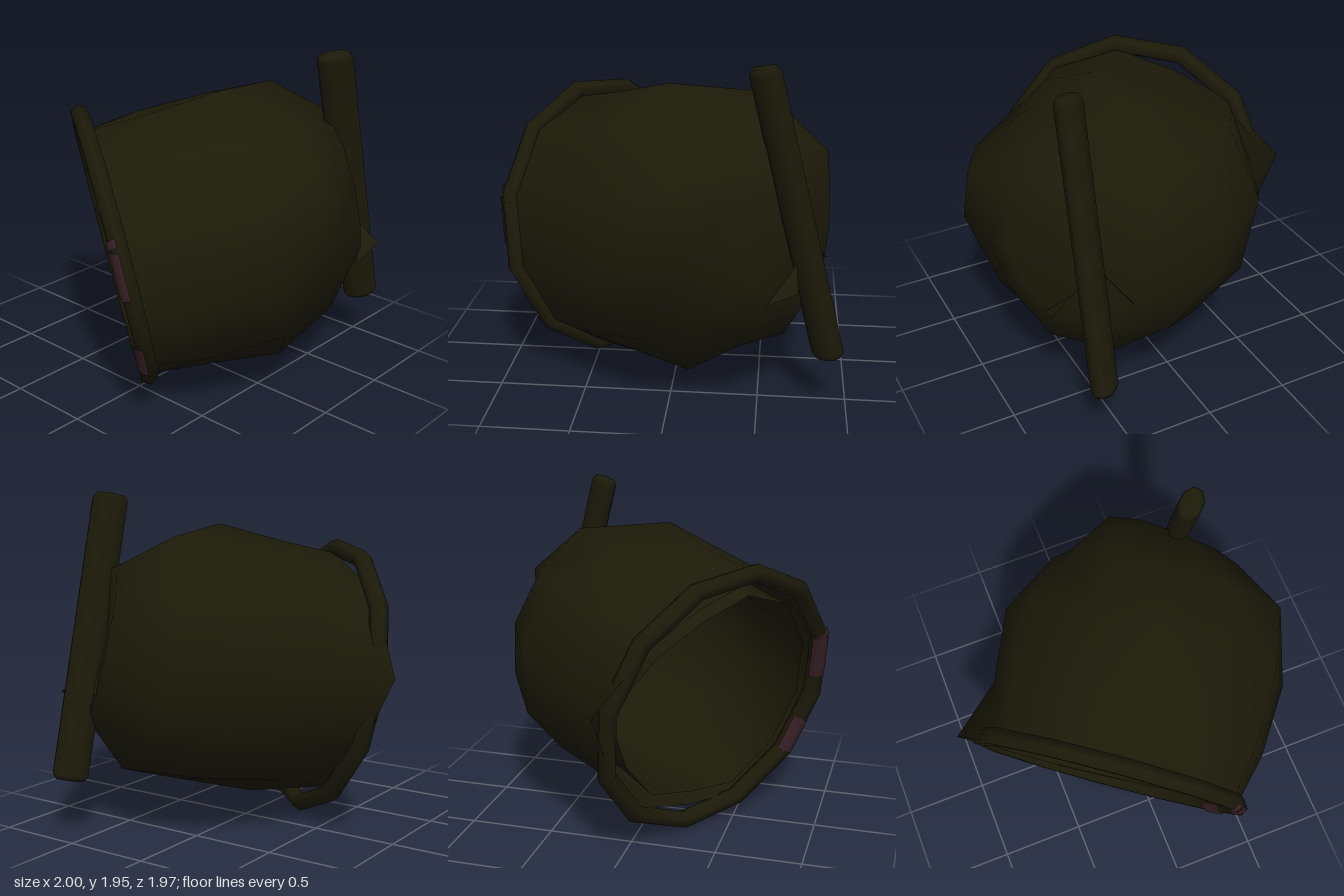
import * as THREE from 'three';

const olive = new THREE.MeshStandardMaterial({ name: 'darkOlive', color: 0x1c1a08 });
const cloth = new THREE.MeshStandardMaterial({ name: 'darkOliveCloth', color: 0x1c1a08, side: THREE.DoubleSide });
const plum = new THREE.MeshStandardMaterial({ name: 'dullPlum', color: 0x351f24 });

const SIDES = 12;
const HOOP_RADIUS = 0.797;

function mesh(name, geometry, material) {
  const m = new THREE.Mesh(geometry, material);
  m.name = name;
  return m;
}

function surface(points, index) {
  const g = new THREE.BufferGeometry();
  g.setAttribute('position', new THREE.Float32BufferAttribute(points, 3));
  g.setIndex(index);
  g.computeVertexNormals();
  return g;
}

// Crumpled bag: [depth, sideways tilt, radii clockwise from the top], closed by a sunken apex
function bagGeometry() {
  const rings = [
    [0.00, -.04, [.76, .79, .79, .79, .79, .79, .69, .75, .78, .93, .76, .69]],
    [0.33, 0, [.77, .78, .84, .86, .84, .82, .76, .75, .79, .81, .82, .73]],
    [0.78, 0, [.80, .73, .85, .88, .84, .88, .74, .80, .83, .86, .85, .73]],
    [1.15, 0, [.56, .62, .78, .62, .63, .70, .72, .68, .69, .68, .67, .71]],
    [1.40, .08, [.42, .44, .46, .45, .44, .44, .46, .37, .33, .35, .48, .47]],
  ];
  const points = [];
  const index = [];
  rings.forEach(([depth, tilt, radii], i) => {
    radii.forEach((r, j) => {
      const a = (j / SIDES) * Math.PI * 2;
      const x = Math.sin(a) * r;
      points.push(x, Math.cos(a) * r, tilt * x - depth);
      const k = (j + 1) % SIDES;
      const here = i * SIDES;
      const next = here + SIDES;
      if (i < rings.length - 1) {
        index.push(here + j, here + k, next + j, here + k, next + k, next + j);
      } else {
        index.push(here + j, here + k, next);
      }
    });
  });
  points.push(0, 0, -1.36);
  return surface(points, index);
}

// Thin curved plate on the mouth side of one hoop edge, between two corner angles
function hoopPlate(name, fromDeg, toDeg, start, end) {
  const corner = (deg) => {
    const a = THREE.MathUtils.degToRad(deg);
    return new THREE.Vector3(Math.cos(a), Math.sin(a), 0).multiplyScalar(HOOP_RADIUS);
  };
  const p = corner(fromDeg);
  const q = corner(toDeg);
  const edge = q.clone().sub(p);
  const plate = mesh(name, new THREE.CylinderGeometry(0.06, 0.06, edge.length() * (end - start),
    6, 1, true, -Math.PI * 0.45, Math.PI * 0.9), plum);
  plate.position.copy(p).addScaledVector(edge, (start + end) / 2);
  plate.rotation.z = Math.atan2(edge.y, edge.x) - Math.PI / 2;
  return plate;
}

export function createModel() {
  const model = new THREE.Group();
  model.name = 'landingNet';

  // Hoop and bag share a tilted frame: x and y span the mouth, -z is the depth
  const net = new THREE.Group();
  net.name = 'net';
  const up = new THREE.Vector3(0, 0.968, 0.251).normalize();
  const back = new THREE.Vector3(0.587, 0.203, -0.784).normalize();
  const side = new THREE.Vector3().crossVectors(back, up).normalize();
  net.quaternion.setFromRotationMatrix(
    new THREE.Matrix4().makeBasis(side, up, back.clone().negate()));
  net.position.set(-0.245, 0.83, 0.445);
  net.add(mesh('hoop', new THREE.TorusGeometry(HOOP_RADIUS, 0.055, 6, SIDES), olive));
  net.add(hoopPlate('cornerPlate', 60, 30, 0.88, 1));
  net.add(hoopPlate('upperPlate', 30, 0, 0, 0.66));
  net.add(hoopPlate('lowerPlate', 0, -30, 0.42, 0.98));

  // Outer bag with a smaller lining inside it
  const bag = bagGeometry();
  const lining = mesh('lining', bag, cloth);
  lining.scale.set(0.87, 0.87, 0.92);
  net.add(mesh('bag', bag, cloth), lining);
  model.add(net);

  // Loose folds of cloth at the closed end
  const folds = [
    [0.83, 0.79, -0.71, 0.68, 0.9, -0.7, 0.8, 0.7, -0.54],
    [0.43, 0.85, -0.87, 0.55, 1.0, -0.68, 0.3, 0.75, -0.74],
  ];
  for (const corners of folds) model.add(mesh('clothFold', surface(corners, [0, 1, 2]), cloth));

  // Leaning handle: flattened section, chamfered ends
  const top = new THREE.Vector3(0.6, 1.94, -0.495);
  const bottom = new THREE.Vector3(0.61, 0.33, -0.89);
  const axis = top.clone().sub(bottom);
  const half = axis.length() / 2;
  const profile = [[0, -half], [0.085, -half], [0.108, 0.03 - half],
    [0.108, half - 0.03], [0.085, half], [0, half]].map(([r, y]) => new THREE.Vector2(r, y));
  const section = new THREE.LatheGeometry(profile, 8, Math.PI / 8);
  section.scale(1, 1, 0.66).rotateY(Math.PI / 4);
  const handle = mesh('handle', section, olive);
  handle.position.copy(top).add(bottom).multiplyScalar(0.5);
  handle.quaternion.setFromUnitVectors(new THREE.Vector3(0, 1, 0), axis.normalize());
  model.add(handle);

  return model;
}
